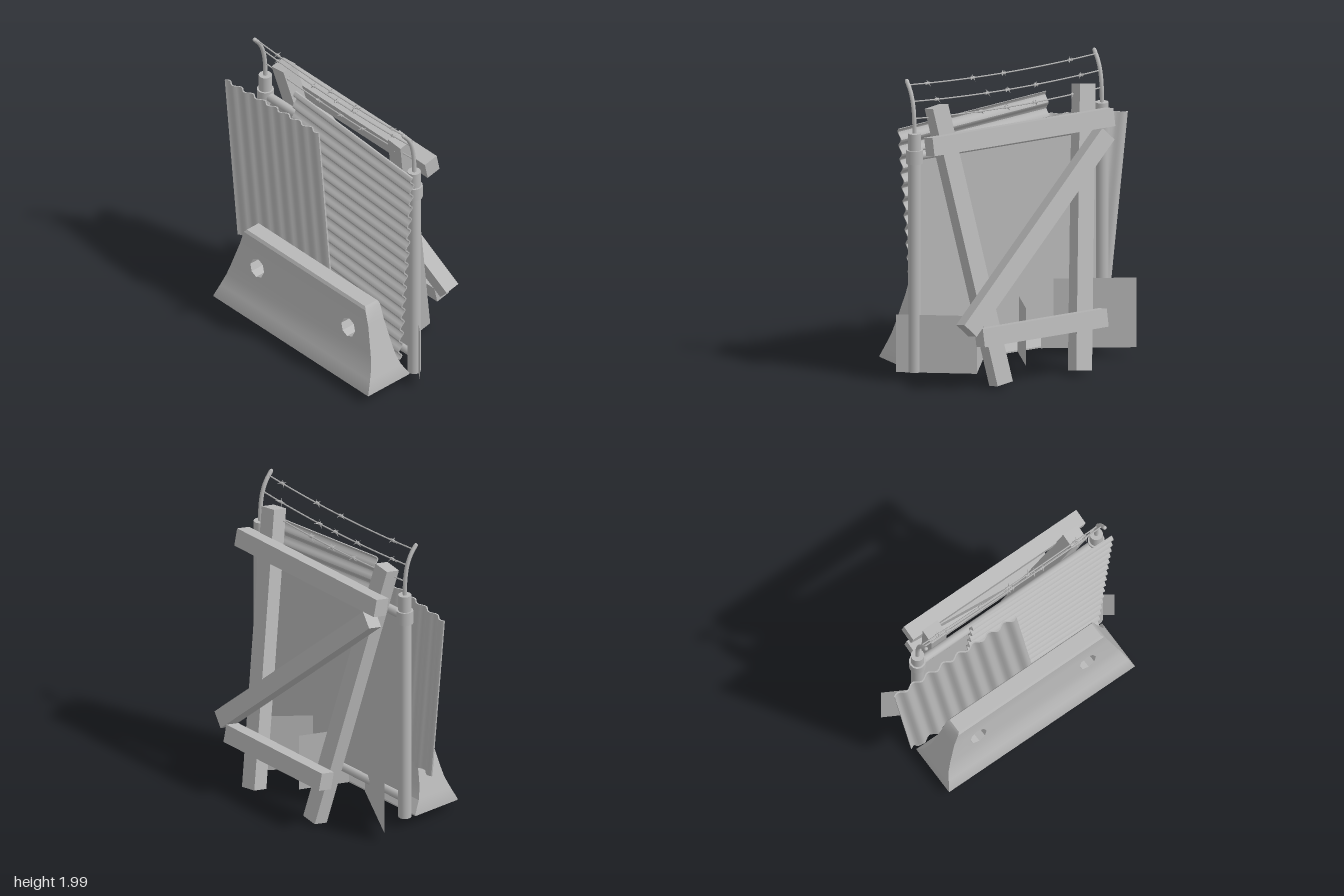
import * as THREE from 'three';
import { mergeGeometries, toCreasedNormals } from 'three/addons/utils/BufferGeometryUtils.js';

const grey = new THREE.MeshStandardMaterial({ color: 0xb8b8b8, side: THREE.DoubleSide });
grey.name = 'plain grey';

const V = (x, y, z) => new THREE.Vector3(x, y, z);

function add(parent, name, geometry, x = 0, y = 0, z = 0) {
  const mesh = new THREE.Mesh(geometry, grey);
  mesh.name = name;
  mesh.position.set(x, y, z);
  parent.add(mesh);
  return mesh;
}

// Concrete barrier: stacked bands whose depth follows a [height, front, back] profile
function barrierGeometry() {
  const profile = [
    [0.07, 0.46, 0.10], [0.08, 0.46, 0.10], [0.16, 0.423, 0.15], [0.24, 0.39, 0.178],
    [0.32, 0.373, 0.19], [0.5, 0.345, 0.21], [0.61, 0.34, 0.215], [0.63, 0.328, 0.225],
  ];
  const cx = 0.055;
  const half = (y) => 0.735 - Math.max(0, y - 0.08) * 0.296 - (y > 0.62 ? 0.01 : 0);
  const bands = [];
  for (let i = 0; i < profile.length - 1; i++) {
    const [y0, f0, b0] = profile[i];
    const [y1, f1, b1] = profile[i + 1];
    const shape = new THREE.Shape([
      new THREE.Vector2(cx - half(y0), y0), new THREE.Vector2(cx + half(y0), y0),
      new THREE.Vector2(cx + half(y1), y1), new THREE.Vector2(cx - half(y1), y1),
    ]);
    if (y0 === 0.32) {
      for (const hx of [-0.375, 0.49]) {
        shape.holes.push(new THREE.Path().absarc(hx, 0.41, 0.065, 0, Math.PI * 2, true));
      }
    }
    const g = new THREE.ExtrudeGeometry(shape, { depth: 1, bevelEnabled: false, curveSegments: 4 });
    const p = g.attributes.position;
    for (let k = 0; k < p.count; k++) {
      const t = (p.getY(k) - y0) / (y1 - y0);
      const front = THREE.MathUtils.lerp(f0, f1, t);
      const back = THREE.MathUtils.lerp(b0, b1, t);
      p.setZ(k, p.getZ(k) > 0.5 ? front : back);
    }
    g.clearGroups();
    bands.push(g);
  }
  return toCreasedNormals(mergeGeometries(bands), 0.45);
}

// Corrugated sheet: waves run along x, ridges along y, centred on the origin
function corrugated(width, height, waves, amp, thick) {
  const steps = waves * 8;
  const front = [], back = [];
  for (let i = 0; i <= steps; i++) {
    const x = (i / steps - 0.5) * width;
    const z = amp * Math.sin((i / 8) * Math.PI * 2);
    front.push(new THREE.Vector2(x, z - thick / 2));
    back.unshift(new THREE.Vector2(x, z + thick / 2));
  }
  const g = new THREE.ExtrudeGeometry(new THREE.Shape([...front, ...back]), { depth: height, bevelEnabled: false });
  g.translate(0, 0, -height / 2).rotateX(-Math.PI / 2);
  return toCreasedNormals(g, 0.7);
}

// Timber beam between two points of the leaning frame
function beam(parent, name, x0, y0, x1, y1, z, w = 0.118, d = 0.105) {
  const length = Math.hypot(x1 - x0, y1 - y0);
  const m = add(parent, name, new THREE.BoxGeometry(length, w, d), (x0 + x1) / 2, (y0 + y1) / 2, z);
  m.rotation.z = Math.atan2(y1 - y0, x1 - x0);
}

export function createModel() {
  const model = new THREE.Group();
  model.name = 'barricade';
  add(model, 'concreteBarrier', barrierGeometry());

  // Fence posts with collars and bent arms
  const postX = [-0.635, 0.78], postZ = 0.05;
  const arm = new THREE.CatmullRomCurve3([
    V(0, 1.64, 0.05), V(0, 1.76, 0.053), V(0, 1.86, 0.07), V(0, 1.93, 0.1), V(0, 1.985, 0.143),
  ]);
  for (const x of postX) {
    add(model, 'post', new THREE.CylinderGeometry(0.043, 0.043, 1.59, 16), x, 0.865, postZ);
    add(model, 'collar', new THREE.CylinderGeometry(0.055, 0.055, 0.09, 16), x, 1.505, postZ);
    add(model, 'arm', new THREE.TubeGeometry(arm, 16, 0.014, 8), x);
    add(model, 'armTip', new THREE.SphereGeometry(0.014, 8, 6), x, 1.985, 0.143);
  }

  // Rails and the flat fence sheet between the posts
  for (const y of [0.2, 1.505]) {
    const rail = add(model, 'rail', new THREE.CylinderGeometry(0.03, 0.03, 1.415, 12), 0.0725, y, postZ);
    rail.rotation.z = Math.PI / 2;
  }
  add(model, 'fenceSheet', new THREE.PlaneGeometry(1.415, 1.305), 0.0725, 0.8525, postZ);

  // Sagging barbed wires: [height, depth, barb positions]
  const wires = [
    [1.965, 0.118, [-0.44, 0.065, 0.3, 0.64]],
    [1.865, 0.07, [-0.49, -0.15, 0.065, 0.22, 0.6]],
    [1.755, 0.052, [-0.42, -0.13, 0.08, 0.28, 0.62]],
  ];
  const spike = new THREE.OctahedronGeometry(1).scale(0.006, 0.032, 0.006);
  for (const [y, z, barbs] of wires) {
    const sag = (x) => y - 0.026 * (1 - ((x - 0.0725) / 0.7075) ** 2);
    const points = [];
    for (let i = 0; i <= 8; i++) {
      const x = THREE.MathUtils.lerp(postX[0], postX[1], i / 8);
      points.push(V(x, sag(x), z));
    }
    add(model, 'wire', new THREE.TubeGeometry(new THREE.CatmullRomCurve3(points), 24, 0.005, 5));
    barbs.forEach((x, i) => {
      for (const s of [-1, 1]) {
        const b = add(model, 'barb', spike, x + s * 0.008, sag(x), z);
        b.rotation.set(s * 0.7 + i * 0.3, 0, s * 0.5);
      }
      const coil = add(model, 'barbCoil', new THREE.CylinderGeometry(0.009, 0.009, 0.03, 6), x, sag(x), z);
      coil.rotation.z = Math.PI / 2;
    });
  }

  // Two tilted corrugated sheets
  const upright = add(model, 'uprightSheet', corrugated(0.94, 1.17, 8, 0.014, 0.01), -0.365, 1.003, 0.182);
  upright.rotation.set(0, -0.042, 0.11);
  const crosswise = add(model, 'crosswiseSheet', corrugated(1.52, 1.115, 16, 0.016, 0.01), 0.233, 0.967, 0.127);
  crosswise.rotation.z = Math.PI / 2 - 0.08;

  // Timber frame leaning against the back
  const frame = new THREE.Group();
  frame.name = 'timberFrame';
  frame.position.set(0, 0.02, -0.355);
  frame.rotation.x = 0.212;
  model.add(frame);
  beam(frame, 'leg', -0.22, 0.005, -0.485, 1.83, 0);
  beam(frame, 'leg', 0.375, 0.005, 0.625, 1.84, 0);
  beam(frame, 'upperCrossbeam', -0.595, 1.6, 0.77, 1.6, -0.1);
  beam(frame, 'lowerCrossbeam', -0.375, 0.33, 0.56, 0.33, -0.108);
  beam(frame, 'diagonalBrace', -0.535, 1.5, 0.65, 0.39, -0.105);

  // Thin upright cards on the ground: [x0, z0, x1, z1, top]
  const cards = [
    [0.89, 0.1, 0.47, -0.21, 0.455], [0.47, -0.21, 0.2, 0.13, 0.455],
    [-0.735, -0.21, -0.2, 0.09, 0.535], [0.1, -0.21, -0.03, 0.1, 0.455],
  ];
  for (const [x0, z0, x1, z1, top] of cards) {
    const g = new THREE.PlaneGeometry(Math.hypot(x1 - x0, z1 - z0), top - 0.07);
    const card = add(model, 'groundCard', g, (x0 + x1) / 2, (top + 0.07) / 2, (z0 + z1) / 2);
    card.rotation.y = -Math.atan2(z1 - z0, x1 - x0);
  }
  return model;
}
